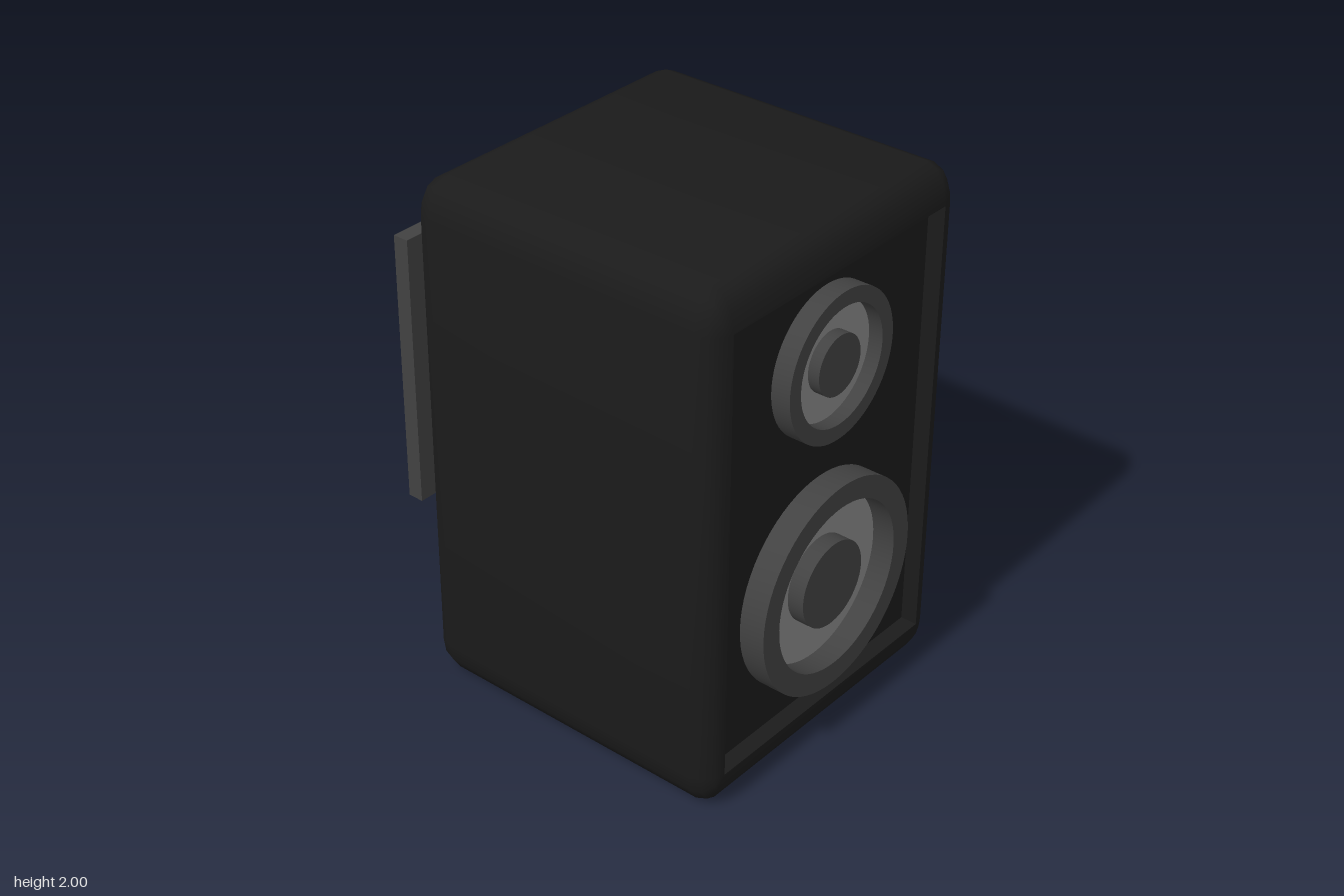
import * as THREE from 'three';
import { toCreasedNormals } from 'three/addons/utils/BufferGeometryUtils.js';

const paint = (color) => new THREE.MeshStandardMaterial({ color });
const black = paint(0x1b1b1b);
const charcoal = paint(0x424242);
const silver = paint(0x888888);

const FRONT = 0.82, BACK = -0.48, BAFFLE = 0.755;
const HALF_W = 0.645, HALF_H = 1;
const BEVEL = 0.087, BEVEL_Y = 0.14, STEPS = 3;

function part(group, name, geometry, material) {
  const mesh = new THREE.Mesh(geometry, material);
  mesh.name = name;
  group.add(mesh);
  return mesh;
}

// Counter-clockwise rounded rectangle; k scales the corner radius from 0 to 1
function section(z, k) {
  const points = [];
  const signs = [[1, 1], [-1, 1], [-1, -1], [1, -1]];
  signs.forEach(([sx, sy], corner) => {
    for (let i = 0; i <= STEPS; i++) {
      const a = (corner + i / STEPS) * Math.PI / 2;
      points.push([
        sx * (HALF_W - BEVEL) + BEVEL * k * Math.cos(a),
        HALF_H + sy * (HALF_H - BEVEL_Y) + BEVEL_Y * k * Math.sin(a),
        z,
      ]);
    }
  });
  return points;
}

// Rounded cabinet skinned back to front, ending in a recessed front panel
function cabinetGeometry() {
  const loops = [];
  for (let i = 0; i <= STEPS; i++) {
    const t = (i / STEPS) * Math.PI / 2;
    loops.push(section(BACK + BEVEL * (1 - Math.cos(t)), Math.sin(t)));
  }
  for (let i = 0; i <= STEPS; i++) {
    const t = (i / STEPS) * Math.PI / 2;
    loops.push(section(FRONT - BEVEL * (1 - Math.sin(t)), Math.cos(t)));
  }
  loops.push(section(BAFFLE, 0));

  const n = loops[0].length;
  const last = (loops.length - 1) * n;
  const index = [];
  for (let r = 0; r < loops.length - 1; r++) {
    for (let i = 0; i < n; i++) {
      const j = (i + 1) % n;
      const a = r * n + i, b = r * n + j;
      index.push(a, b, b + n, a, b + n, a + n);
    }
  }
  for (let i = 1; i < n - 1; i++) {
    index.push(0, i + 1, i);
    index.push(last, last + i, last + i + 1);
  }
  const geometry = new THREE.BufferGeometry();
  geometry.setAttribute('position', new THREE.Float32BufferAttribute(loops.flat(2), 3));
  geometry.setIndex(index);
  return toCreasedNormals(geometry, 0.75);
}

// Disc lying on the baffle, facing forward
function disc(radius, front) {
  const back = BAFFLE - 0.01;
  return new THREE.CylinderGeometry(radius, radius, front - back, 64)
    .rotateX(Math.PI / 2)
    .translate(0, 0, (front + back) / 2);
}

// Driver: raised ring, sunken cone and centre cap
function driver(name, y, outer, inner, cap, ringFront, coneFront, capFront) {
  const group = new THREE.Group();
  group.name = name;
  const back = BAFFLE - 0.01;
  const profile = [
    [inner, back], [outer, back], [outer, ringFront], [inner, ringFront], [inner, back],
  ].map(([r, z]) => new THREE.Vector2(r, z));
  const ring = toCreasedNormals(new THREE.LatheGeometry(profile, 64), 0.5).rotateX(Math.PI / 2);
  part(group, name + 'Ring', ring, charcoal);
  part(group, name + 'Cone', disc(inner, coneFront), silver);
  part(group, name + 'Cap', disc(cap, capFront), charcoal);
  group.position.y = y;
  return group;
}

// Round bar between two points
function bar(group, name, from, to, radius) {
  const a = new THREE.Vector3(...from), b = new THREE.Vector3(...to);
  const dir = b.clone().sub(a);
  const mesh = part(group, name, new THREE.CylinderGeometry(radius, radius, dir.length(), 32), charcoal);
  mesh.position.copy(a).add(b).multiplyScalar(0.5);
  mesh.quaternion.setFromUnitVectors(new THREE.Vector3(0, 1, 0), dir.normalize());
}

export function createModel() {
  const model = new THREE.Group();
  model.name = 'wallSpeaker';

  part(model, 'cabinet', cabinetGeometry(), black);

  model.add(driver('tweeter', 1.5, 0.278, 0.22, 0.112, 0.83, 0.775, 0.82));
  model.add(driver('woofer', 0.633, 0.41, 0.325, 0.165, 0.855, 0.767, 0.832));

  // Wall bracket: plate and two converging arms
  const bracket = new THREE.Group();
  bracket.name = 'wallBracket';
  part(bracket, 'wallPlate', new THREE.BoxGeometry(0.74, 1.095, 0.065), charcoal)
    .position.set(0, 1.003, -0.8225);
  bar(bracket, 'upperArm', [-0.028, 1.368, -0.4], [0.018, 1.22, -0.815], 0.086);
  bar(bracket, 'lowerArm', [-0.028, 0.756, -0.4], [0.018, 0.882, -0.815], 0.086);
  model.add(bracket);

  return model;
}
